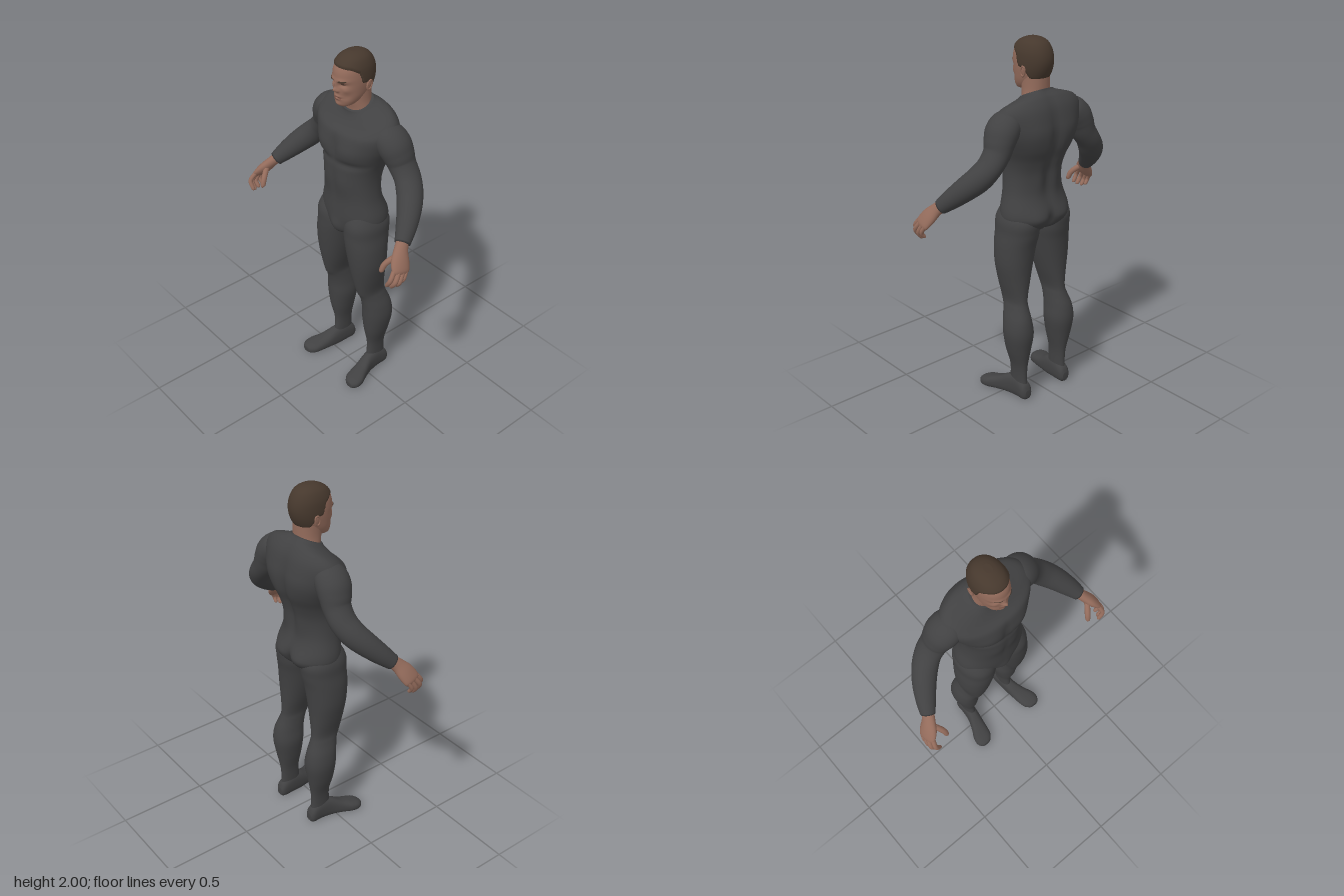
import * as THREE from 'three';

const material = (name, color) => Object.assign(new THREE.MeshStandardMaterial({ color }), { name });
const clamp = THREE.MathUtils.clamp, smooth = THREE.MathUtils.smoothstep;

// Catmull-Rom blend between rows of numbers, s in row units
function sampleRows(rows, s) {
  const last = rows.length - 1, i = Math.min(Math.floor(s), last - 1), t = s - i;
  const at = k => rows[clamp(k, 0, last)];
  const [a, b, c, d] = [at(i - 1), at(i), at(i + 1), at(i + 2)];
  return b.map((_, k) => 0.5 * (2 * b[k] + (c[k] - a[k]) * t +
    (2 * a[k] - 5 * b[k] + 4 * c[k] - d[k]) * t * t +
    (3 * b[k] - a[k] - 3 * c[k] + d[k]) * t * t * t));
}

// Smooth closed skin over rows [x, y, z, sideRadius, frontRadius, squareness].
// up: fixed ring normal, or null to follow the path. keep: optional face filter.
function loft(rows, { sides = 40, steps = 6, up = null, front = [0, 0, 1], shape = null, keep = null } = {}) {
  const pos = [], index = [], flags = [], rings = (rows.length - 1) * steps;
  const f0 = new THREE.Vector3(...front);
  for (let r = -1; r <= rings + 1; r++) {
    const s = clamp(r, 0, rings) / steps, cap = r < 0 || r > rings;
    const [x, y, z, ru, rf, e = 2] = sampleRows(rows, s);
    const t = new THREE.Vector3();
    if (up) t.set(...up);
    else {
      const a = sampleRows(rows, Math.max(s - 0.05, 0)), b = sampleRows(rows, Math.min(s + 0.05, rows.length - 1));
      t.set(b[0] - a[0], b[1] - a[1], b[2] - a[2]).normalize();
    }
    const u = new THREE.Vector3().crossVectors(t, f0).normalize();
    const f = new THREE.Vector3().crossVectors(u, t);
    for (let j = 0; j < sides; j++) {
      const a = j / sides * Math.PI * 2, c = Math.cos(a), n = Math.sin(a);
      const p = new THREE.Vector3(x, y, z);
      if (!cap) {
        p.addScaledVector(u, Math.sign(c) * Math.abs(c) ** (2 / e) * ru);
        p.addScaledVector(f, Math.sign(n) * Math.abs(n) ** (2 / e) * rf);
      }
      if (shape) shape(p);
      flags.push(keep ? keep(p) : true);
      pos.push(p.x, p.y, p.z);
    }
  }
  for (let r = 0; r < rings + 2; r++) for (let j = 0; j < sides; j++) {
    const k = (j + 1) % sides, a = r * sides + j, b = r * sides + k, c = a + sides, d = b + sides;
    if (flags[a] || flags[b] || flags[c] || flags[d]) index.push(a, c, b, b, c, d);
  }
  const g = new THREE.BufferGeometry();
  g.setAttribute('position', new THREE.Float32BufferAttribute(pos, 3));
  g.setIndex(index);
  g.computeVertexNormals();
  return g;
}

// Horizontal section from its front and back z
const slice = (x, y, rx, zf, zb, e = 2.15) => [x, y, (zf + zb) / 2, rx, (zf - zb) / 2, e];

// Mirrored soft bumps [x, y, sizeX, sizeY, depth] pushing along z, on the front (1) or back (-1)
function bumps(p, list, side, mid) {
  const w = smooth((p.z - mid) * side, 0, 0.06), x = Math.abs(p.x), y = p.y;
  let d = 0;
  for (const [bx, by, sx, sy, depth] of list) d += depth * Math.exp(-(((x - bx) / sx) ** 2) - ((y - by) / sy) ** 2);
  p.z += d * w * side;
}

const chest = [[0.1, 1.5, 0.08, 0.06, 0.016], [0.1, 1.425, 0.09, 0.02, -0.012], [0, 1.5, 0.018, 0.07, -0.01],
  [0, 1.01, 0.045, 0.05, 0.018], [0, 1.28, 0.012, 0.1, -0.005], [0.06, 1.3, 0.04, 0.07, 0.005]];
const back = [[0, 1.42, 0.03, 0.2, -0.022], [0.12, 1.55, 0.07, 0.1, 0.01], [0.06, 1.27, 0.035, 0.09, 0.007],
  [0.09, 1.055, 0.065, 0.055, 0.016], [0, 1.03, 0.018, 0.06, -0.03]];
const faceForms = [[0.034, 1.874, 0.03, 0.01, 0.008], [0.034, 1.852, 0.018, 0.009, -0.011],
  [0.055, 1.826, 0.018, 0.015, 0.006], [0.05, 1.79, 0.018, 0.018, -0.005],
  [0, 1.85, 0.01, 0.02, 0.013], [0, 1.824, 0.012, 0.011, 0.022], [0.013, 1.818, 0.007, 0.007, 0.008],
  [0, 1.787, 0.022, 0.006, 0.006], [0, 1.778, 0.026, 0.003, -0.004], [0, 1.77, 0.018, 0.005, 0.006],
  [0, 1.742, 0.02, 0.012, 0.006]];

const headRows = [slice(0, 1.724, 0.02, 0.05, 0.015), slice(0, 1.735, 0.045, 0.062, -0.03), slice(0, 1.755, 0.061, 0.068, -0.07),
  slice(0, 1.78, 0.071, 0.071, -0.1), slice(0, 1.81, 0.077, 0.073, -0.125), slice(0, 1.85, 0.082, 0.074, -0.142),
  slice(0, 1.89, 0.083, 0.077, -0.148), slice(0, 1.93, 0.079, 0.068, -0.141), slice(0, 1.965, 0.064, 0.042, -0.122),
  slice(0, 1.984, 0.042, 0.008, -0.095), slice(0, 1.992, 0.018, -0.02, -0.066)];
const headOptions = { sides: 128, steps: 8, up: [0, 1, 0] };
const headShape = p => bumps(p, faceForms, 1, -0.01);

// Thin layer over the head, showing only where field(p) > 0
function headLayer(field, lift) {
  const centre = new THREE.Vector3(0, 1.87, -0.04), out = new THREE.Vector3();
  let s = 0;
  return loft(headRows, { ...headOptions, keep: () => s > -0.006, shape: p => {
    headShape(p);
    s = field(p);
    out.subVectors(p, centre).normalize();
    p.addScaledVector(out, clamp(s * 0.9, -0.006, lift));
  } });
}
const oval = (p, x, y, a, b, tilt = 0) => p.z < 0 ? -1 :
  (1 - Math.hypot((Math.abs(p.x) - x) / a, (p.y - y - tilt * (Math.abs(p.x) - x)) / b)) * b;

// Height of the hair edge along z, from forehead past the ear to the nape
const hairLine = [[0.08, 1.942], [0.03, 1.932], [-0.008, 1.91], [-0.025, 1.855], [-0.06, 1.85], [-0.085, 1.8], [-0.16, 1.785]];
function hairField(p) {
  const i = clamp(hairLine.findIndex(q => q[0] < p.z), 1, hairLine.length - 1);
  const [z0, y0] = hairLine[i - 1], [z1, y1] = hairLine[i];
  return p.y - (y0 + (y1 - y0) * clamp((p.z - z0) / (z1 - z0), 0, 1));
}

export function createModel() {
  const suit = material('suit charcoal', 0x414142), skin = material('skin', 0x936b5b);
  const hair = material('hair brown', 0x46382d), dark = material('eye dark', 0x35261f), lip = material('lip', 0x80574b);
  const model = new THREE.Group();
  const add = (name, geometry, mat) => {
    const mesh = new THREE.Mesh(geometry, mat);
    mesh.name = name;
    model.add(mesh);
  };
  // Adds a part on the left (+x) and its mirror on the right
  const pair = (name, geometry, mat) => {
    add('left' + name, geometry, mat);
    const g = geometry.clone().scale(-1, 1, 1);
    g.setIndex(Array.from(g.index.array).reverse());
    g.computeVertexNormals();
    add('right' + name, g, mat);
  };

  // Torso with the collar tilted up towards the back
  add('torso', loft([slice(0, 0.945, 0.02, 0.04, -0.04), slice(0, 0.97, 0.06, 0.065, -0.09), slice(0, 1.0, 0.145, 0.078, -0.15),
    slice(0, 1.05, 0.195, 0.088, -0.185), slice(0, 1.1, 0.2, 0.092, -0.188), slice(0, 1.2, 0.174, 0.09, -0.16),
    slice(0, 1.3, 0.165, 0.098, -0.165), slice(0, 1.38, 0.175, 0.1, -0.19), slice(0, 1.45, 0.202, 0.1, -0.218),
    slice(0, 1.52, 0.235, 0.096, -0.227), slice(0, 1.58, 0.255, 0.088, -0.222), slice(0, 1.63, 0.26, 0.062, -0.205),
    slice(0, 1.667, 0.225, 0.036, -0.175), slice(0, 1.69, 0.16, 0.018, -0.152), slice(0, 1.705, 0.11, 0.01, -0.14),
    slice(0, 1.717, 0.086, 0.008, -0.134)],
  { sides: 72, up: [0, 1, 0], shape: p => {
    bumps(p, chest, 1, -0.04);
    bumps(p, back, -1, -0.06);
    p.y -= (p.z + 0.06) * 0.45 * smooth(p.y, 1.58, 1.7);
  } }), suit);

  // Legs: [height, outer x, inner x, front z, back z]
  pair('Leg', loft([[1.15, 0.16, 0.04, 0.04, -0.09], [1.06, 0.206, 0.012, 0.087, -0.165], [0.98, 0.213, 0.004, 0.092, -0.165],
    [0.9, 0.222, 0.016, 0.09, -0.15], [0.8, 0.222, 0.035, 0.08, -0.14], [0.7, 0.206, 0.06, 0.065, -0.135],
    [0.6, 0.187, 0.089, 0.043, -0.135], [0.55, 0.195, 0.09, 0.02, -0.146], [0.48, 0.217, 0.083, 0.006, -0.171],
    [0.4, 0.225, 0.075, 0, -0.18], [0.3, 0.208, 0.09, -0.01, -0.165], [0.2, 0.18, 0.11, -0.028, -0.148],
    [0.12, 0.173, 0.115, -0.026, -0.145], [0.06, 0.174, 0.116, -0.02, -0.15]]
    .map(([y, o, i, f, b]) => slice((o + i) / 2, y, (o - i) / 2, f, b)), { up: [0, -1, 0] }), suit);

  // Feet, flat underneath
  pair('Foot', loft([[0.143, 0.035, -0.165, 0.02, 0.022], [0.144, 0.045, -0.145, 0.034, 0.05], [0.145, 0.058, -0.085, 0.036, 0.066],
    [0.152, 0.05, -0.02, 0.038, 0.062], [0.168, 0.036, 0.04, 0.046, 0.045], [0.184, 0.029, 0.09, 0.055, 0.036],
    [0.191, 0.024, 0.13, 0.051, 0.03], [0.195, 0.02, 0.156, 0.03, 0.02], [0.196, 0.018, 0.161, 0.015, 0.01]].map(r => [...r, 2.4]),
  { front: [0, 1, 0], up: [0, 0, 1], shape: p => { p.y = Math.max(p.y, 0.004); } }), suit);

  // Arms from shoulder to sleeve end
  pair('Arm', loft([[0.17, 1.625, -0.075, 0.04, 0.06], [0.21, 1.6, -0.08, 0.072, 0.088], [0.25, 1.56, -0.088, 0.082, 0.093],
    [0.275, 1.515, -0.096, 0.075, 0.086], [0.297, 1.465, -0.102, 0.066, 0.076], [0.342, 1.405, -0.1, 0.061, 0.073],
    [0.388, 1.348, -0.075, 0.066, 0.069], [0.435, 1.295, -0.03, 0.063, 0.063], [0.48, 1.235, 0.03, 0.053, 0.053],
    [0.514, 1.183, 0.085, 0.039, 0.041]]), suit);

  // Hands with curled fingers and thumb
  pair('Palm', loft([[0.503, 1.2, 0.068, 0.03, 0.033], [0.527, 1.165, 0.105, 0.028, 0.038], [0.555, 1.125, 0.135, 0.028, 0.051],
    [0.58, 1.09, 0.155, 0.021, 0.051], [0.588, 1.075, 0.162, 0.012, 0.04]], { sides: 28 }), skin);
  const digit = (name, a, b, c, r) => pair(name, loft([[...a, r, r], [...b, r, r], [...c, r * 0.85, r * 0.85],
    [c[0] - 0.003, c[1] - 0.007, c[2], r * 0.35, r * 0.35]], { sides: 14, steps: 5 }), skin);
  digit('IndexFinger', [0.57, 1.105, 0.185], [0.581, 1.06, 0.22], [0.558, 1.018, 0.222], 0.0125);
  digit('MiddleFinger', [0.582, 1.095, 0.165], [0.595, 1.047, 0.2], [0.57, 1.008, 0.203], 0.013);
  digit('RingFinger', [0.588, 1.085, 0.145], [0.597, 1.037, 0.173], [0.576, 1.006, 0.174], 0.0125);
  digit('LittleFinger', [0.59, 1.08, 0.125], [0.597, 1.043, 0.146], [0.58, 1.017, 0.146], 0.011);
  digit('Thumb', [0.535, 1.145, 0.135], [0.502, 1.102, 0.182], [0.492, 1.062, 0.2], 0.0155);

  // Neck and head
  add('neck', loft([slice(0, 1.65, 0.085, -0.005, -0.13), slice(0, 1.7, 0.078, 0, -0.127), slice(0, 1.75, 0.071, 0.012, -0.128),
    slice(0, 1.83, 0.07, 0.02, -0.13)], { up: [0, 1, 0] }), skin);
  add('head', loft(headRows, { ...headOptions, shape: headShape }), skin);
  add('hair', headLayer(hairField, 0.008), hair);
  add('eyebrows', headLayer(p => oval(p, 0.035, 1.873, 0.022, 0.005, 0.15), 0.002), hair);
  add('eyes', headLayer(p => oval(p, 0.033, 1.854, 0.012, 0.004), 0.0015), dark);
  add('lips', headLayer(p => oval(p, 0, 1.778, 0.027, 0.009), 0.001), lip);

  // Ears with a raised rim
  const ear = g => g.rotateY(Math.PI / 2).rotateX(-0.2).rotateZ(-0.1).translate(0.086, 1.838, -0.062);
  pair('Ear', ear(new THREE.SphereGeometry(1, 20, 14).scale(0.016, 0.028, 0.007)), skin);
  pair('EarRim', ear(new THREE.TorusGeometry(0.016, 0.004, 8, 24).scale(0.9, 1.6, 1).translate(0, 0, 0.005)), skin);
  return model;
}
